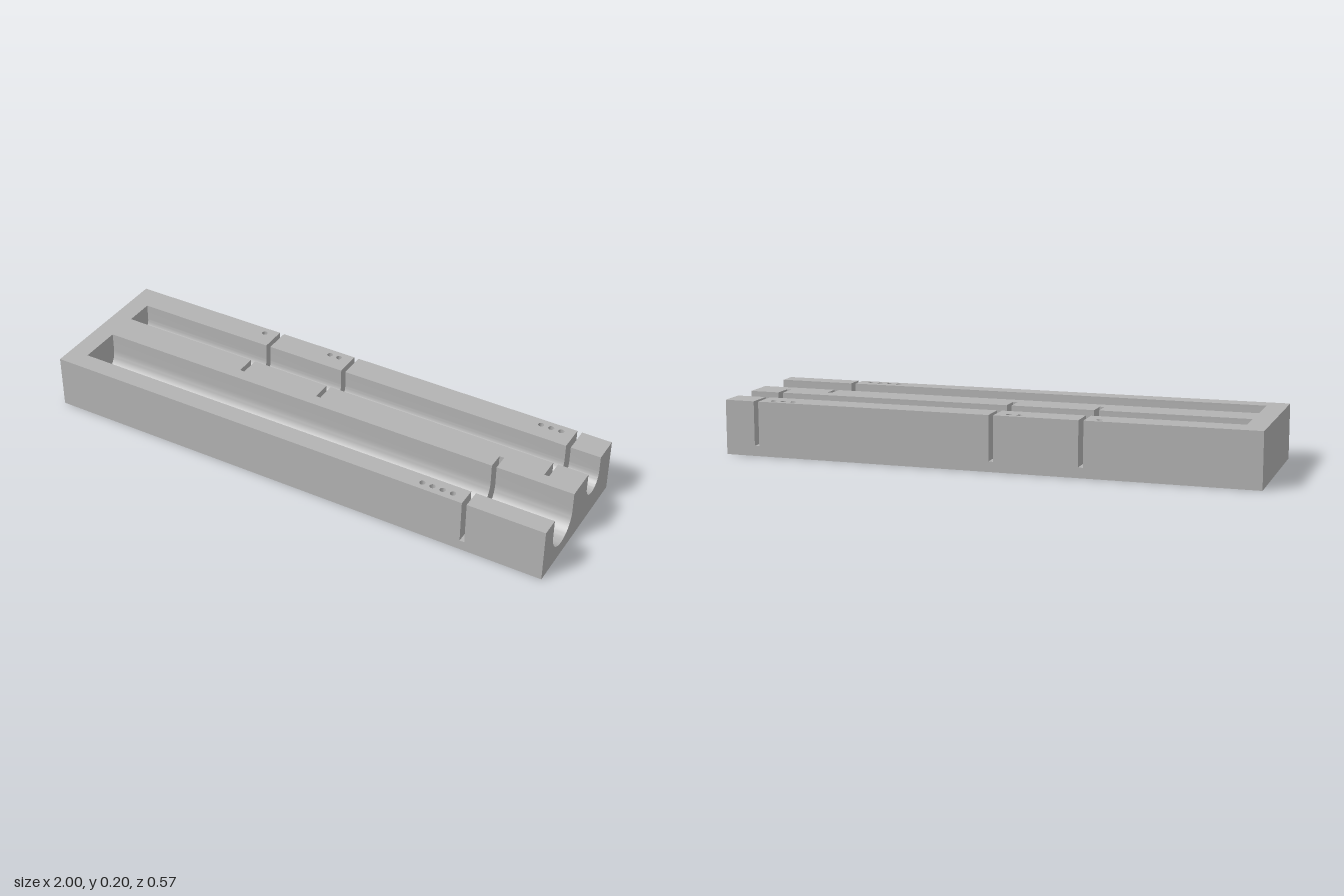
import * as THREE from 'three';
import { mergeGeometries, toCreasedNormals } from 'three/addons/utils/BufferGeometryUtils.js';

const H = 0.205, D = 0.283;          // block height and half depth
const FLOOR = 0.038, SLIT = 0.009;   // slit floor and half width
const CHANNEL_START = -0.925;
const HOLE_R = 0.011, HOLE_DEPTH = 0.025, HOLE_Z = 0.252;
const BACK_END = 0.003, FRONT_END = -0.012; // inner ends of the slits

const channels = {
  back: { z: -0.128, r: 0.055, y: 0.143 },
  front: { z: 0.13, r: 0.081, y: 0.131 },
};
const slits = [
  { side: 'back', x: -0.364, marks: 1 },
  { side: 'back', x: -0.035, marks: 2 },
  { side: 'back', x: 0.877, marks: 3 },
  { side: 'front', x: 0.699, marks: 4 },
];

// Counting holes in a row before each slit
const holes = slits.flatMap(({ side, x, marks }) =>
  Array.from({ length: marks }, (_, i) => ({
    x: x - 0.058 - i * 0.039, z: side === 'front' ? HOLE_Z : -HOLE_Z,
  })));

// Round-bottomed channel outline as [z, y], from its back lip to its front lip
function channelLine({ z, r, y }) {
  const pts = [[z - r, H]];
  for (let i = 0; i <= 32; i++) {
    const a = Math.PI * (1 + i / 32);
    pts.push([z + r * Math.cos(a), y + r * Math.sin(a)]);
  }
  pts.push([z + r, H]);
  return pts;
}
const lips = ({ z, r }) => [[z - r, H], [z + r, H]];

// Cross-section of the block; each half is 'solid', 'channel' or 'slit'
function profile(back, front) {
  const cut = (mode, c) => (mode === 'channel' ? channelLine(c) : lips(c));
  const b = back === 'slit'
    ? [[-D, FLOOR], [BACK_END, FLOOR]]
    : [[-D, FLOOR], [-D, H], ...cut(back, channels.back), [FRONT_END, H]];
  const f = front === 'slit'
    ? [[FRONT_END, FLOOR], [D, FLOOR]]
    : [[BACK_END, H], ...cut(front, channels.front), [D, H], [D, FLOOR]];
  return [[-D, 0], ...b, ...f, [D, 0]];
}

// Piece of the top face, pierced by the holes lying in it
function topPiece(x0, x1, z0, z1) {
  const shape = new THREE.Shape([[x0, -z1], [x1, -z1], [x1, -z0], [x0, -z0]]
    .map(([x, y]) => new THREE.Vector2(x, y)));
  for (const h of holes) {
    if (h.x > x0 && h.x < x1 && h.z > z0 && h.z < z1) {
      shape.holes.push(new THREE.Path().absarc(h.x, -h.z, HOLE_R, 0, Math.PI * 2, true));
    }
  }
  return new THREE.ShapeGeometry(shape, 8).rotateX(-Math.PI / 2).translate(0, H, 0);
}

// Skin of one length of the block
function sweep(pts, x0, x1) {
  const pos = [], parts = [];
  pts.forEach((p, i) => {
    const q = pts[(i + 1) % pts.length];
    if (p[1] === H && q[1] === H) {
      parts.push(topPiece(x0, x1, p[0], q[0]));
      return;
    }
    const a = [x0, p[1], p[0]], b = [x0, q[1], q[0]];
    const c = [x1, q[1], q[0]], d = [x1, p[1], p[0]];
    pos.push(...a, ...b, ...c, ...a, ...c, ...d);
  });
  const skin = new THREE.BufferGeometry();
  skin.setAttribute('position', new THREE.Float32BufferAttribute(pos, 3));
  return [skin, ...parts];
}

// Flat wall across the block, facing along x by dir
function wall(pts, x, dir) {
  const shape = new THREE.Shape(pts.map(([z, y]) => new THREE.Vector2(-dir * z, y)));
  return new THREE.ShapeGeometry(shape).rotateY(dir * Math.PI / 2).translate(x, 0, 0);
}

function join(parts) {
  const plain = parts.map((g) => {
    const n = g.index ? g.toNonIndexed() : g;
    n.deleteAttribute('uv');
    n.deleteAttribute('normal');
    return n;
  });
  return toCreasedNormals(mergeGeometries(plain), 0.5);
}

export function createModel() {
  const group = new THREE.Group();
  const grey = new THREE.MeshStandardMaterial({ color: 0xb3b3b3 });
  grey.name = 'grey';
  const add = (name, parts) => {
    const mesh = new THREE.Mesh(join(parts), grey);
    mesh.name = name;
    group.add(mesh);
  };

  // Block: closed end, then channelled lengths broken by slits
  const block = [...sweep(profile('solid', 'solid'), -1, CHANNEL_START)];
  let x = CHANNEL_START;
  for (const s of [...slits].sort((a, b) => a.x - b.x)) {
    block.push(...sweep(profile('channel', 'channel'), x, s.x - SLIT));
    const section = s.side === 'back' ? profile('slit', 'channel') : profile('channel', 'slit');
    block.push(...sweep(section, s.x - SLIT, s.x + SLIT));
    x = s.x + SLIT;
  }
  block.push(...sweep(profile('channel', 'channel'), x, 1));
  block.push(wall(profile('solid', 'solid'), -1, -1));
  block.push(wall(profile('channel', 'channel'), 1, 1));
  add('block', block);

  // Closed ends of the channels
  add('channelEnds', Object.values(channels).map((c) => wall(channelLine(c), CHANNEL_START, 1)));

  // Side walls of the slits
  add('slitWalls', slits.flatMap((s) => {
    const [z0, z1] = s.side === 'back' ? [-D, BACK_END] : [FRONT_END, D];
    const pts = [[z0, FLOOR], [z0, H], ...channelLine(channels[s.side]), [z1, H], [z1, FLOOR]];
    return [wall(pts, s.x - SLIT, 1), wall(pts, s.x + SLIT, -1)];
  }));

  // Linings and floors of the counting holes
  add('countingHoles', holes.flatMap((h) => [
    new THREE.CylinderGeometry(HOLE_R, HOLE_R, HOLE_DEPTH, 16, 1, true)
      .scale(-1, 1, 1).translate(h.x, H - HOLE_DEPTH / 2, h.z),
    new THREE.CircleGeometry(HOLE_R, 16).rotateX(-Math.PI / 2).translate(h.x, H - HOLE_DEPTH, h.z),
  ]));

  return group;
}
